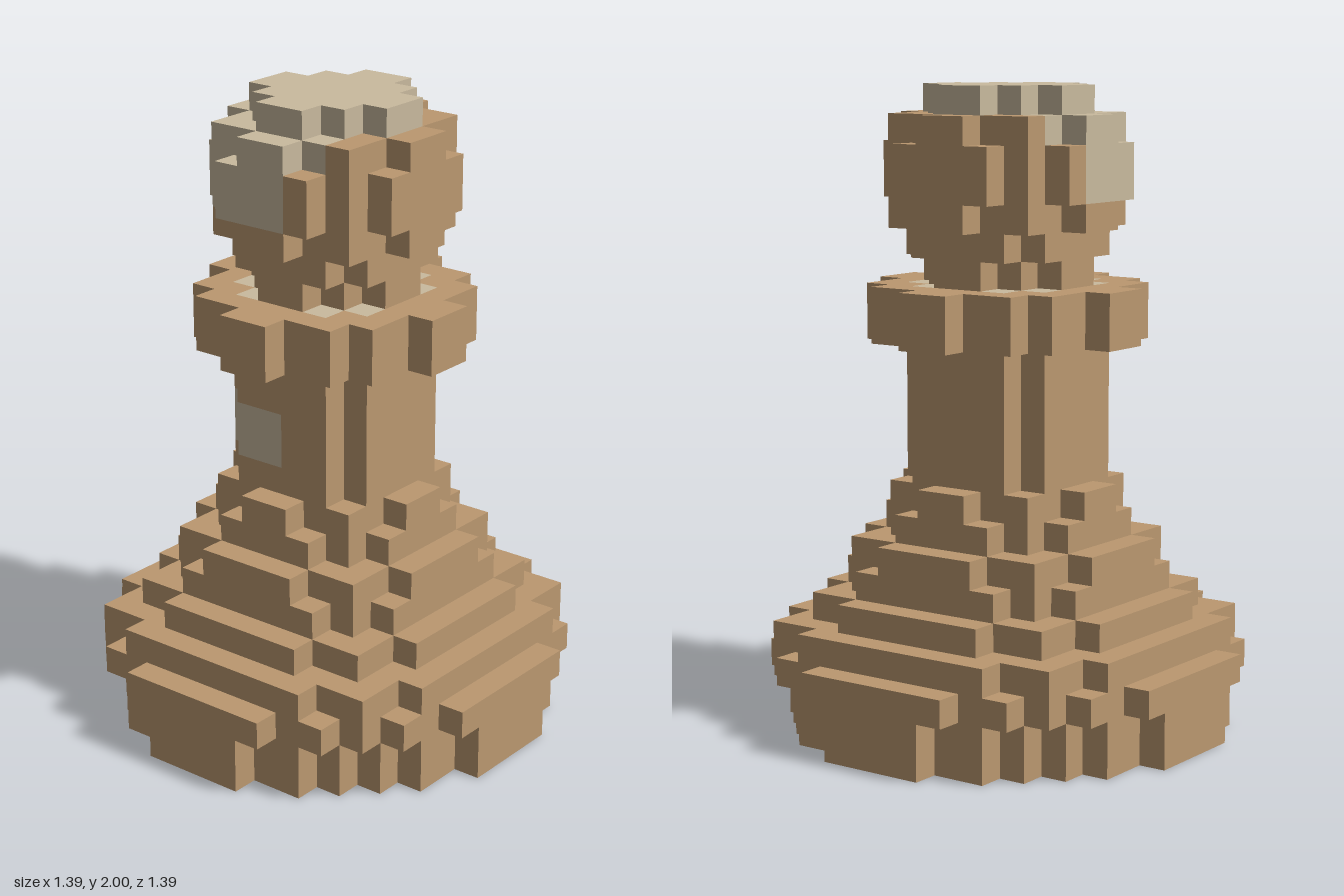
import * as THREE from 'three';
import { mergeGeometries } from 'three/addons/utils/BufferGeometryUtils.js';

const V = 2 / 23; // cube size

// Parts from the ground up. Each layer lists its half width for rows 1, 2, 3... away from the centre.
const wide = [8, 8, 7, 7, 6, 5, 4, 2];
const mid = [4, 4, 3, 2];
const small = [4, 3, 3, 1];
const shaft = [3, 3, 2];
const ring = [5, 4, 4, 3, 1];
const tip = [3, 2, 1];
const parts = [
  ['base', [wide, wide, [8, 8, 8, 7, 7, 6, 5, 3], [7, 7, 7, 7, 6, 6, 4], [6, 6, 6, 5, 5, 3],
    [5, 5, 5, 4, 3], [5, 5, 4, 4, 2], mid, small]],
  ['stem', [shaft, shaft, shaft, shaft, shaft]],
  ['collar', [ring, ring]],
  ['neck', [tip, shaft]],
  ['head', [small, mid, mid, small]],
  ['cap', [tip]],
];
const layers = parts.flatMap(p => p[1]);

// Outward directions with the turn that aims a plane along each
const sides = [
  [0, 0, 1, 0, 0], [0, 0, -1, 0, Math.PI],
  [1, 0, 0, 0, Math.PI / 2], [-1, 0, 0, 0, -Math.PI / 2],
  [0, 1, 0, -Math.PI / 2, 0], [0, -1, 0, Math.PI / 2, 0],
];

// x and z are cube centres (n + 0.5), y is the layer number
function filled(x, y, z) {
  const rows = layers[y];
  if (!rows) return false;
  return Math.abs(x) < (rows[Math.floor(Math.abs(z))] || 0);
}

// Colour of one cube face
function colourOf(x, y, z, dx, dy) {
  if (y === 0 && dy < 0) return 'felt';
  if (y === 22) return 'paleWood';
  if (y === 21 && x + z <= -1) return 'paleWood';
  if ((y === 19 || y === 20) && x + z <= -3) return 'paleWood';
  // worn patch on the stem
  if (y === 10 || y === 11) {
    if (x === -2.5 && (z === -1.5 || z === -0.5)) return 'paleWood';
    if (x === -1.5 && z === -2.5 && dx < 0) return 'paleWood';
  }
  // worn ring on the collar around the neck
  if (y === 15 && dy > 0 && Math.hypot(x, z) < 3.2) return 'paleWood';
  return 'wood';
}

export function createModel() {
  const group = new THREE.Group();
  const materials = {};
  for (const [name, color] of [['wood', 0xbb9870], ['paleWood', 0xc9ba9e], ['felt', 0x8c2828]]) {
    materials[name] = new THREE.MeshStandardMaterial({ color });
    materials[name].name = name;
  }

  let start = 0;
  for (const [name, partLayers] of parts) {
    const part = new THREE.Group();
    part.name = name;
    const faces = { wood: [], paleWood: [], felt: [] };

    // Exposed cube faces of this part
    for (let y = start; y < start + partLayers.length; y++) {
      for (let x = -7.5; x < 8; x++) {
        for (let z = -7.5; z < 8; z++) {
          if (!filled(x, y, z)) continue;
          for (const [dx, dy, dz, rx, ry] of sides) {
            if (filled(x + dx, y + dy, z + dz)) continue;
            const face = new THREE.PlaneGeometry(V, V).rotateX(rx).rotateY(ry);
            face.translate((x + dx / 2) * V, (y + 0.5 + dy / 2) * V, (z + dz / 2) * V);
            faces[colourOf(x, y, z, dx, dy)].push(face);
          }
        }
      }
    }

    for (const colour in faces) {
      if (!faces[colour].length) continue;
      const mesh = new THREE.Mesh(mergeGeometries(faces[colour]), materials[colour]);
      mesh.name = `${name} ${colour}`;
      part.add(mesh);
    }
    group.add(part);
    start += partLayers.length;
  }
  return group;
}
